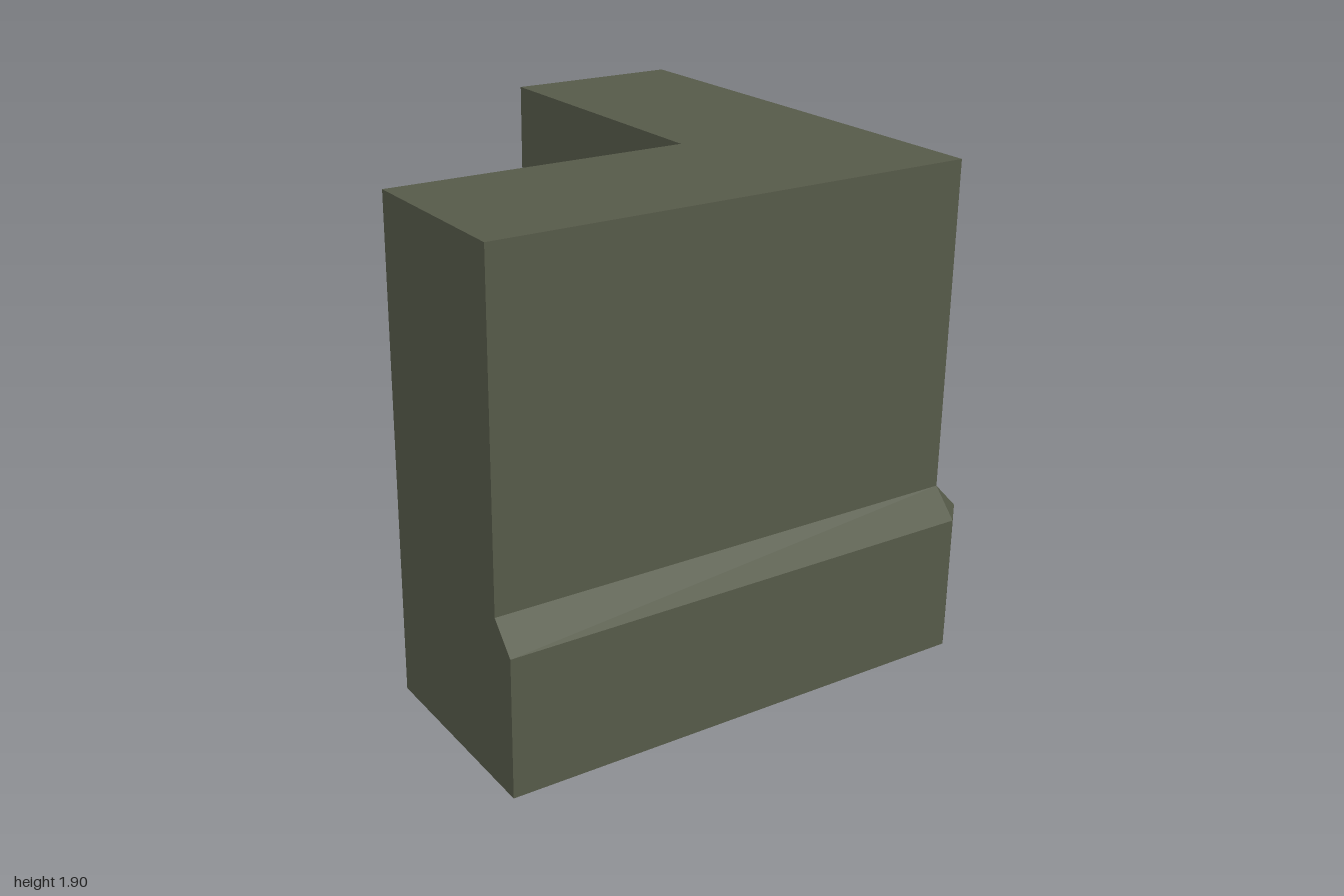
import * as THREE from 'three';

export function createModel() {
  const model = new THREE.Group();
  model.name = 'cornerWall';
  const olive = new THREE.MeshStandardMaterial({ color: 0x565a49, side: THREE.DoubleSide, flatShading: true });
  olive.name = 'dark olive';

  // L-shaped footprints as [x, z], with matching points; the foot has a cut outer corner
  const foot = [[-1, 1], [0.9, 1], [1, 0.9], [1, -1], [0.19, -1], [0.19, 0.19], [-1, 0.19]];
  const wall = [[-1, 0.9], [0.9, 0.9], [0.9, 0.9], [0.9, -1], [0.19, -1], [0.19, 0.19], [-1, 0.19]];

  const add = (name, geometry) => {
    const mesh = new THREE.Mesh(geometry, olive);
    mesh.name = name;
    model.add(mesh);
    return mesh;
  };

  // Band of side faces between two footprints
  const band = (name, lower, y0, upper, y1) => {
    const positions = [];
    lower.forEach(([ax, az], i) => {
      const j = (i + 1) % lower.length;
      const [bx, bz] = lower[j], [cx, cz] = upper[j], [dx, dz] = upper[i];
      positions.push(ax, y0, az, bx, y0, bz, cx, y1, cz);
      // Skip the half that shrinks to nothing at the sharp corner
      if (cx !== dx || cz !== dz) positions.push(ax, y0, az, cx, y1, cz, dx, y1, dz);
    });
    const geometry = new THREE.BufferGeometry();
    geometry.setAttribute('position', new THREE.Float32BufferAttribute(positions, 3));
    geometry.computeVertexNormals();
    add(name, geometry);
  };

  band('foot', foot, 0, foot, 0.53);
  band('footBevel', foot, 0.53, wall, 0.635);

  // Upper wall uses the sharp corner only once
  const sharp = wall.filter((p, i) => i !== 2);
  band('upperWall', sharp, 0.635, sharp, 1.9);

  // Flat top, open underneath
  const outline = new THREE.Shape(sharp.map(([x, z]) => new THREE.Vector2(x, -z)));
  add('top', new THREE.ShapeGeometry(outline).rotateX(-Math.PI / 2)).position.y = 1.9;

  // Inner wall dividing the two wings
  const divider = add('divider', new THREE.PlaneGeometry(0.71, 1.9).rotateY(Math.PI));
  divider.position.set(0.545, 0.95, 0.19);

  return model;
}
